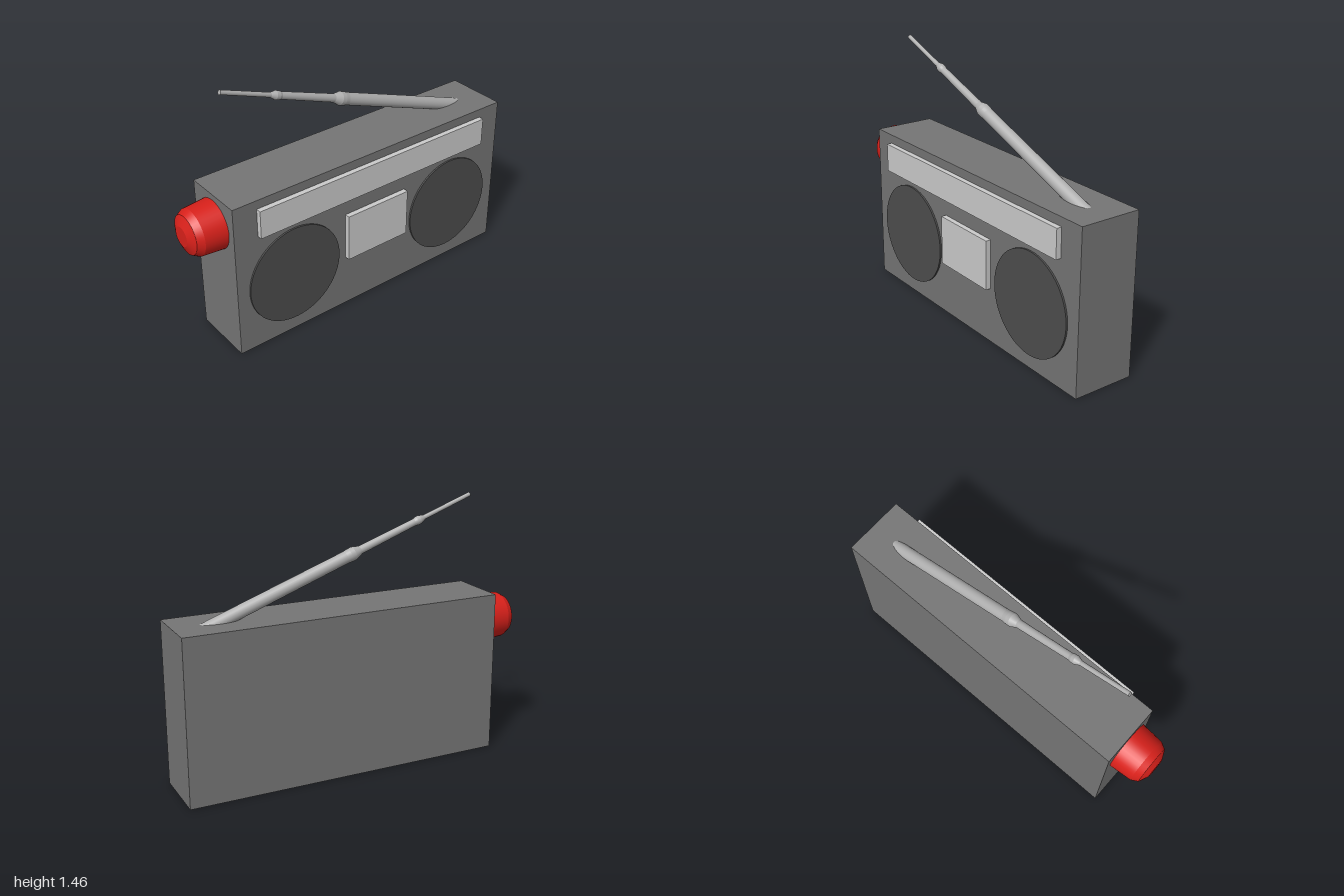
import * as THREE from 'three';

const grey = new THREE.MeshStandardMaterial({ color: 0xcccccc });
const coloured = (color) => new THREE.MeshStandardMaterial({ color });

function part(name, geometry, material, x, y, z) {
  const mesh = new THREE.Mesh(geometry, material);
  mesh.name = name;
  mesh.position.set(x, y, z);
  return mesh;
}

// Box given by its min and max corners
function box(name, material, [x0, y0, z0], [x1, y1, z1]) {
  return part(name, new THREE.BoxGeometry(x1 - x0, y1 - y0, z1 - z0), material,
    (x0 + x1) / 2, (y0 + y1) / 2, (z0 + z1) / 2);
}

// Lathe from [radius, height] pairs; edges between bands stay crisp
function lathe(profile, segments) {
  const points = [];
  profile.forEach(([r, h], i) => {
    points.push(new THREE.Vector2(r, h));
    if (i > 0 && i < profile.length - 1) points.push(new THREE.Vector2(r, h + 0.0002));
  });
  return new THREE.LatheGeometry(points, segments);
}

export function createModel() {
  const model = new THREE.Group();
  model.name = 'radio';
  const sideX = 0.16;

  // Case with raised tuning strip and cassette window on its +x face
  model.add(box('case', coloured(0x757575), [-0.195, 0, -1], [sideX, 0.91, 0.81]));
  model.add(box('tuningStrip', grey, [sideX - 0.01, 0.698, -0.857], [0.19, 0.86, 0.67]));
  model.add(box('cassetteWindow', grey, [sideX - 0.01, 0.315, -0.3], [0.19, 0.595, 0.113]));

  // Speaker discs
  const speakerMaterial = coloured(0x4d4d4d);
  const speakerGeometry = new THREE.CylinderGeometry(0.288, 0.288, 0.02, 64);
  speakerGeometry.rotateZ(-Math.PI / 2);
  for (const [name, z] of [['frontSpeaker', 0.45], ['rearSpeaker', -0.634]]) {
    model.add(part(name, speakerGeometry, speakerMaterial, sideX, 0.368, z));
  }

  // Red knob on the front end, tapering to a rounded nose
  const knobGeometry = lathe([[0.14, -0.01], [0.139, 0], [0.129, 0.128],
    [0.108, 0.165], [0.055, 0.189], [0, 0.19]], 40);
  knobGeometry.rotateX(Math.PI / 2);
  model.add(part('knob', knobGeometry, coloured(0xd8201a), -0.022, 0.738, 0.81));

  // Telescopic antenna leaning forward, with a collar at each joint
  const antennaGeometry = lathe([[0, -0.1], [0.036, -0.1], [0.034, 0.76], [0.037, 0.785], [0.037, 0.81],
    [0.023, 0.85], [0.02, 1.2], [0.024, 1.215], [0.024, 1.235],
    [0.013, 1.265], [0.012, 1.57], [0, 1.57]], 24);
  const antenna = part('antenna', antennaGeometry, coloured(0xb0b0b0), -0.018, 0.91, -0.745);
  antenna.rotation.x = Math.PI / 2 - 0.352;
  model.add(antenna);

  return model;
}
